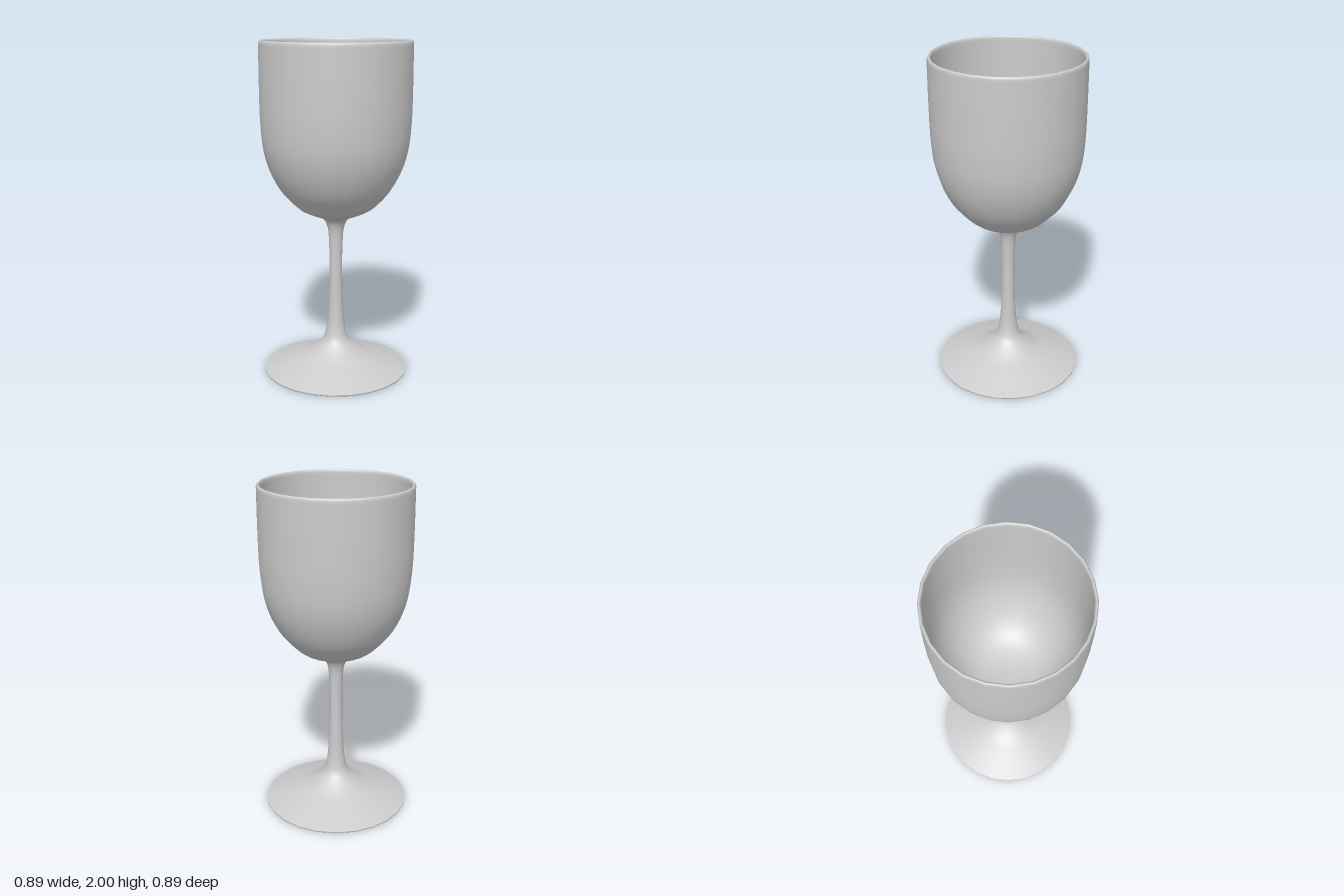
import * as THREE from 'three';

const SIDES = 24;
const material = new THREE.MeshStandardMaterial({ color: 0xcccccc });

// Smooth profile through [radius, height] pairs
function profile(pairs, count) {
  const curve = new THREE.CatmullRomCurve3(pairs.map(([r, y]) => new THREE.Vector3(r, y, 0)), false, 'centripetal');
  return curve.getPoints(count).map(p => new THREE.Vector2(Math.max(p.x, 0), p.y));
}

function addTurned(group, name, points) {
  const mesh = new THREE.Mesh(new THREE.LatheGeometry(points, SIDES), material);
  mesh.name = name;
  group.add(mesh);
}

export function createModel() {
  const group = new THREE.Group();
  group.name = 'goblet';

  // Outer skin, from the foot's edge up to just under the lip
  const outer = profile([
    [0.44, 0.012], [0.39, 0.03], [0.28, 0.07], [0.2, 0.1], [0.13, 0.142], [0.08, 0.19],
    [0.058, 0.26], [0.046, 0.38], [0.039, 0.6], [0.041, 0.8], [0.05, 0.9], [0.075, 0.95],
    [0.14, 0.98], [0.21, 1.012], [0.265, 1.06], [0.33, 1.135], [0.39, 1.25], [0.425, 1.37],
    [0.441, 1.52], [0.445, 1.7], [0.445, 1.975],
  ], 100);
  const stemStart = outer.findIndex(p => p.y > 0.26);
  const bowlStart = outer.findIndex(p => p.y > 0.9);
  addTurned(group, 'foot', outer.slice(0, stemStart + 1));
  addTurned(group, 'stem', outer.slice(stemStart, bowlStart + 1));
  addTurned(group, 'bowlOutside', outer.slice(bowlStart));

  // Hollow underside and thin edge of the foot
  addTurned(group, 'footUnderside', profile([
    [0, 0.09], [0.05, 0.08], [0.13, 0.055], [0.25, 0.028], [0.36, 0.01], [0.43, 0],
  ], 20));
  addTurned(group, 'footEdge', profile([[0.43, 0], [0.439, 0.004], [0.44, 0.012]], 4));

  // Rounded lip
  addTurned(group, 'lip', profile([
    [0.445, 1.975], [0.443, 1.992], [0.435, 2], [0.427, 1.992], [0.425, 1.975],
  ], 10));

  // Inside of the bowl, from the lip down to the centre
  addTurned(group, 'bowlInside', profile([
    [0.425, 1.975], [0.425, 1.7], [0.421, 1.52], [0.405, 1.38], [0.37, 1.26], [0.315, 1.155],
    [0.25, 1.08], [0.18, 1.035], [0.09, 1.01], [0, 1.002],
  ], 48));

  return group;
}
